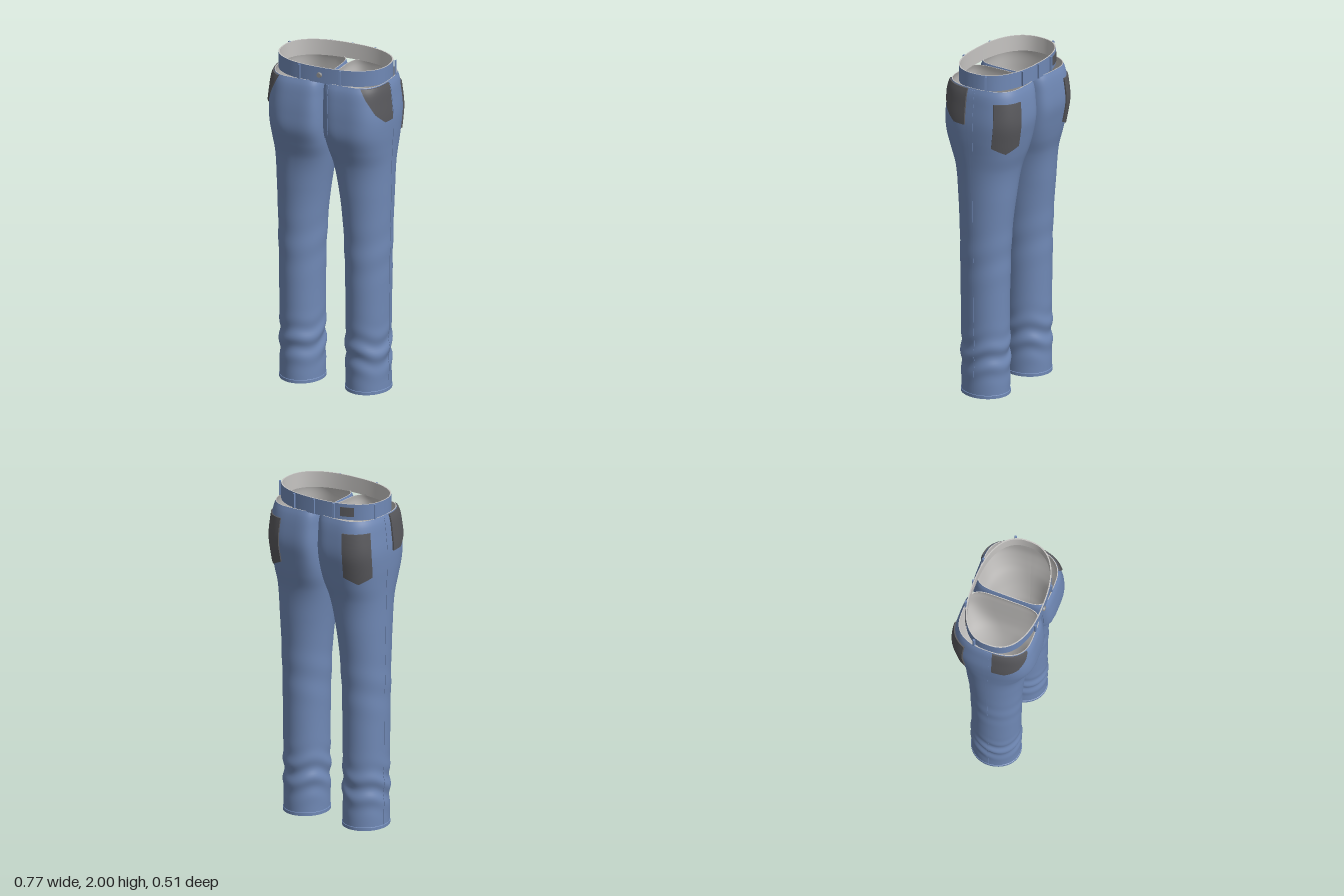
import * as THREE from 'three';
import { toCreasedNormals } from 'three/addons/utils/BufferGeometryUtils.js';

const mat = (name, color) => Object.assign(new THREE.MeshStandardMaterial({ color }), { name });
const power = (v, n) => Math.sign(v) * Math.pow(Math.abs(v), 2 / n);

// Leg sections: y, inner x, outer x, back z, front z, inner and outer roundness
const SECTIONS = [
  [0, 0.08, 0.34, -0.14, 0.15, 2, 2],
  [0.3, 0.08, 0.34, -0.14, 0.15, 2, 2],
  [0.6, 0.08, 0.343, -0.14, 0.153, 2, 2],
  [1.0, 0.065, 0.35, -0.152, 0.16, 2, 2],
  [1.2, 0.045, 0.355, -0.17, 0.17, 2.1, 2.05],
  [1.4, 0.018, 0.36, -0.19, 0.19, 2.6, 2.2],
  [1.5, 0.007, 0.366, -0.215, 0.22, 3.5, 2.4],
  [1.6, 0.004, 0.373, -0.235, 0.248, 4.5, 2.5],
  [1.7, 0.004, 0.375, -0.25, 0.25, 5, 2.6],
  [1.8, 0.004, 0.366, -0.245, 0.243, 5, 2.6],
  [1.88, 0.004, 0.355, -0.232, 0.23, 5, 2.6],
  [1.91, 0.01, 0.345, -0.222, 0.218, 5, 2.6],
];
const spline = new THREE.CubicInterpolant(SECTIONS.map((s) => s[0]), SECTIONS.flatMap((s) => s.slice(1)), 6);

// Cloth folds above the hem and faint ones at the knee
function folds(t, y) {
  const ankle = Math.exp(-(((y - 0.25) / 0.11) ** 2));
  const knee = Math.exp(-(((y - 0.85) / 0.15) ** 2));
  return 0.007 * ankle * Math.sin(y * 48 + 2.2 * Math.sin(t + 0.6) + Math.sin(3 * t))
    + 0.002 * knee * Math.sin(y * 30 + 2 * Math.sin(t));
}

// Point on a leg at angle t (0 = outer side, PI/2 = front), pushed outwards by off
const legSurface = (side) => (t, y, off) => {
  const [xi, xo, zb, zf, ni, no] = spline.evaluate(y);
  const c = Math.cos(t), s = Math.sin(t), n = c > 0 ? no : ni;
  const dx = power(c, n) * (xo - xi) / 2;
  const dz = power(s, n) * (s > 0 ? zf : -zb);
  const k = 1 + (off + folds(t, y)) / Math.hypot(dx, dz);
  return [side * Math.max((xi + xo) / 2 + dx * k, 0.002), y, dz * k];
};

const bandSurface = (t, y, off) => [
  power(Math.cos(t), 2.4) * (0.341 + off), y, power(Math.sin(t), 2.4) * (0.214 + off)];

// Grid surface from fn(u, v); flip turns it inside out
function grid(nu, nv, fn, flip) {
  const pos = [], index = [];
  for (let j = 0; j <= nv; j++) for (let i = 0; i <= nu; i++) pos.push(...fn(i / nu, j / nv));
  for (let j = 0; j < nv; j++) for (let i = 0; i < nu; i++) {
    const a = j * (nu + 1) + i, b = a + 1, c = a + nu + 1, d = c + 1;
    index.push(...(flip ? [a, b, c, b, d, c] : [a, c, b, b, c, d]));
  }
  const geo = new THREE.BufferGeometry();
  geo.setAttribute('position', new THREE.Float32BufferAttribute(pos, 3));
  geo.setIndex(index);
  geo.computeVertexNormals();
  return geo;
}

// Thin cloth plate on a surface, with its edges turned down; shape(u, v) gives [angle, y]
function plate(surface, shape, thick, flip, nu = 14, nv = 16) {
  const inset = (w, n) => THREE.MathUtils.clamp((Math.round(w * n) - 1) / (n - 2), 0, 1);
  const geo = grid(nu, nv, (u, v) => {
    const rim = u === 0 || u === 1 || v === 0 || v === 1;
    const [t, y] = shape(inset(u, nu), inset(v, nv));
    return surface(t, y, rim ? -0.003 : thick);
  }, flip);
  return toCreasedNormals(geo, 0.7);
}

// Piecewise linear lookup in [[key, value], ...]
function lookup(table, key) {
  const i = Math.max(1, table.findIndex((p) => p[0] >= key - 1e-9));
  const [a, b] = [table[i - 1], table[i]];
  return THREE.MathUtils.mapLinear(key, a[0], b[0], a[1], b[1]);
}

export function createModel() {
  const denim = mat('denim blue', 0x7089b6);
  const pocketCloth = mat('pocket grey', 0x58585c);
  const lining = mat('lining grey', 0xc6c4c2);
  const metal = mat('button metal', 0x8e8e8e);

  const model = new THREE.Group();
  model.name = 'trousers';
  const add = (parent, name, geo, material) => {
    const mesh = new THREE.Mesh(geo, material);
    mesh.name = name;
    parent.add(mesh);
    return mesh;
  };
  const TAU = Math.PI * 2;
  const lerp = THREE.MathUtils.lerp;
  const FRONT_EDGE = [[1.69, 0.35], [1.75, 0.7], [1.85, 1.03], [1.905, 1.17]];

  for (const side of [1, -1]) {
    const leg = new THREE.Group();
    leg.name = side > 0 ? 'leftLeg' : 'rightLeg';
    model.add(leg);
    const surface = legSurface(side), flip = side < 0;

    // Outer cloth and lining
    add(leg, 'legCloth', grid(72, 150, (u, v) => surface(u * TAU, v * 1.91, 0), flip), denim);
    add(leg, 'legLining', grid(72, 150, (u, v) => surface(u * TAU, v * 1.91, -0.005), !flip), lining);
    add(leg, 'waistEdge', grid(72, 1, (u, v) => surface(u * TAU, 1.91, -0.005 * v), flip), lining);

    // Hem at the ankle
    const hem = [[-0.005, 0], [0.003, 0], [0.003, 0.018], [0, 0.02]];
    add(leg, 'hem', toCreasedNormals(grid(72, 3, (u, v) => {
      const [off, y] = hem[Math.round(v * 3)];
      return surface(u * TAU, y, off);
    }, flip), 0.7), denim);

    // Raised seam down the outer side
    add(leg, 'sideSeam', plate(surface, (u, v) => [lerp(-0.03, 0.03, u), lerp(0.02, 1.9, v)],
      0.002, flip, 4, 120), denim);

    // Front pocket with a slanted opening
    add(leg, 'frontPocket', plate(surface, (u, v) => {
      const y = lerp(1.69, 1.905, v);
      return [lerp(0.08, lookup(FRONT_EDGE, y), u), y];
    }, 0.009, flip), pocketCloth);

    // Back pocket with a pointed bottom
    add(leg, 'backPocket', plate(surface, (u, v) => {
      const bottom = 1.57 - 0.04 * (1 - Math.abs(2 * u - 1));
      return [lerp(-1.45, -0.52, u), lerp(bottom, 1.84, v)];
    }, 0.008, flip), pocketCloth);
  }

  // Fly flap, curved in at the bottom
  add(model, 'fly', plate(legSurface(1), (u, v) => [
    lerp(1.96, 2.5, u), lerp(1.61 - 0.05 * Math.sqrt(u), 1.9, v)], 0.003, false), denim);

  // Waistband: outer wall, then rim and inner wall
  const band = new THREE.Group();
  band.name = 'waistband';
  model.add(band);
  add(band, 'bandCloth', grid(96, 1, (u, v) => bandSurface(u * TAU, lerp(1.905, 2, v), 0)), denim);
  const inner = [[0, 2], [-0.007, 2], [-0.007, 1.905], [0, 1.905]];
  add(band, 'bandLining', toCreasedNormals(grid(96, 3, (u, v) => {
    const [off, y] = inner[Math.round(v * 3)];
    return bandSurface(u * TAU, y, off);
  }), 0.7), lining);

  // Belt loops, placed by x and z on the band
  for (const [x, z] of [[-0.13, 0.213], [0.13, 0.213], [-0.135, -0.211], [0.145, -0.21],
    [0, -0.218], [0.338, -0.085], [-0.338, -0.085]]) {
    const loop = add(band, 'beltLoop', new THREE.BoxGeometry(0.012, 0.088, 0.012), denim);
    loop.position.set(x, 1.953, z);
    loop.rotation.y = Math.atan2(x / 0.341 ** 2, z / 0.214 ** 2);
  }

  // Plain patch at the back of the band
  add(band, 'backPatch', plate(bandSurface, (u, v) => [
    lerp(-2.32, -2.02, u), lerp(1.925, 1.98, v)], 0.004, false, 8, 6), pocketCloth);

  // Waist button
  const button = add(band, 'button', new THREE.CylinderGeometry(0.014, 0.017, 0.012, 20), metal);
  button.rotation.x = Math.PI / 2;
  button.position.set(0, 1.953, 0.219);

  return model;
}
